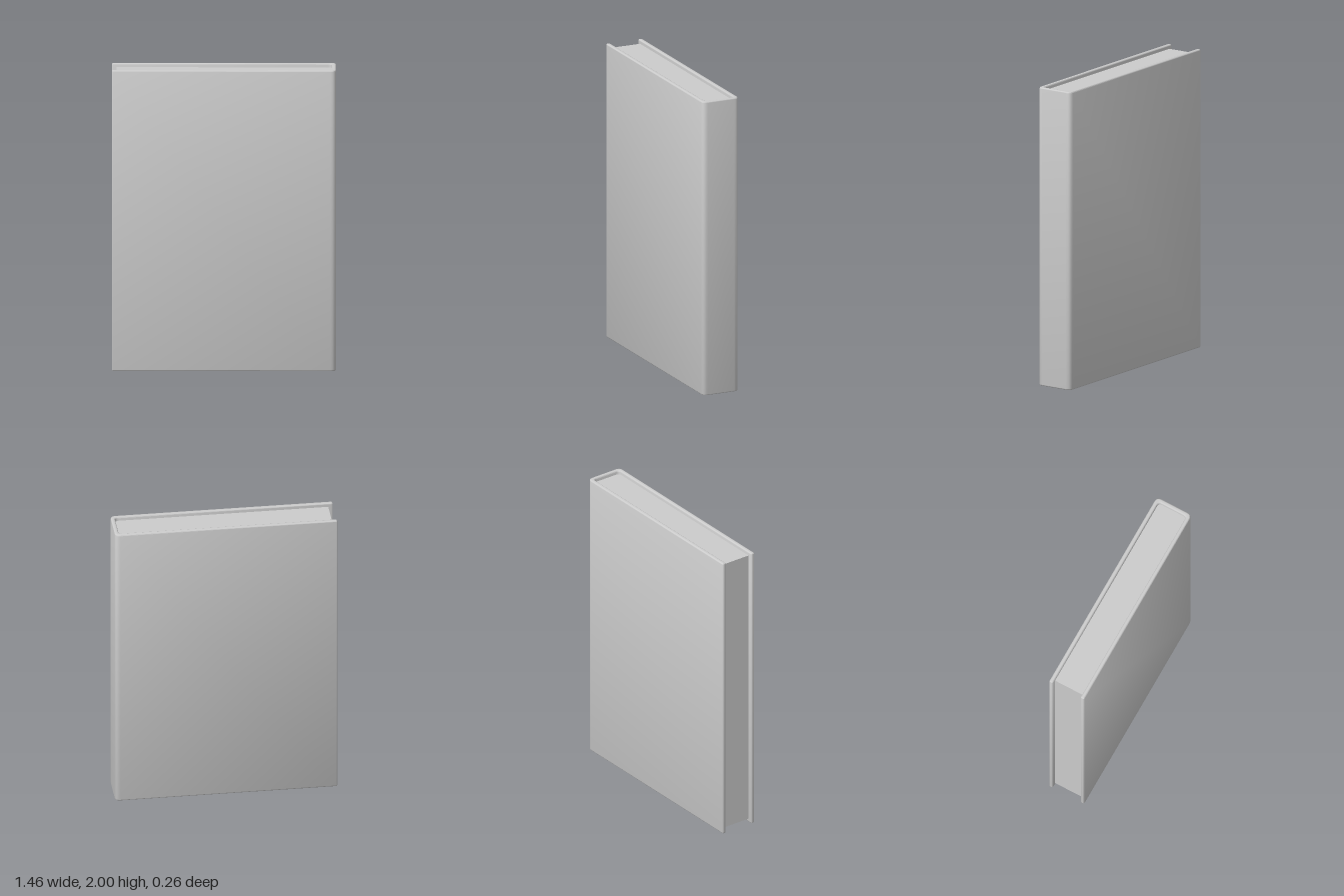
import * as THREE from 'three';
import { toCreasedNormals } from 'three/addons/utils/BufferGeometryUtils.js';

const HEIGHT = 2, BEVEL = 0.008;
const LEFT = -0.73, RIGHT = 0.73, HALF = 0.13, BOARD = 0.027;

// Upright prism from a plan outline, with optional rounded top and bottom edges
function prism(shape, y0, y1, bevel) {
  const geo = new THREE.ExtrudeGeometry(shape, {
    depth: y1 - y0 - 2 * bevel, curveSegments: 6,
    bevelEnabled: bevel > 0, bevelThickness: bevel, bevelSize: bevel,
    bevelOffset: -bevel, bevelSegments: 3,
  });
  geo.rotateX(-Math.PI / 2);
  geo.translate(0, y0 + bevel, 0);
  return toCreasedNormals(geo, 0.7);
}

// Closed outline with a fillet of radius r at each [x, y, r] corner
function roundedOutline(corners) {
  const shape = new THREE.Shape();
  const n = corners.length;
  corners.forEach(([x, y, r], i) => {
    const p = new THREE.Vector2(x, y);
    const toward = ([qx, qy]) =>
      new THREE.Vector2(qx, qy).sub(p).setLength(r).add(p);
    const a = toward(corners[(i + n - 1) % n]);
    const b = toward(corners[(i + 1) % n]);
    if (i === 0) shape.moveTo(a.x, a.y);
    else shape.lineTo(a.x, a.y);
    if (r > 0) shape.quadraticCurveTo(x, y, b.x, b.y);
  });
  shape.closePath();
  return shape;
}

export function createModel() {
  const book = new THREE.Group();
  book.name = 'book';
  const material = new THREE.MeshStandardMaterial({ color: 0xcccccc });
  const add = (name, geometry) => {
    const mesh = new THREE.Mesh(geometry, material);
    mesh.name = name;
    book.add(mesh);
  };

  // Cover: two boards joined by the spine on +x
  const inner = HALF - BOARD, spine = RIGHT - BOARD;
  add('cover', prism(roundedOutline([
    [LEFT, -HALF, 0.01], [RIGHT, -HALF, 0.035], [RIGHT, HALF, 0.035], [LEFT, HALF, 0.01],
    [LEFT, inner, 0.01], [spine, inner, 0.025], [spine, -inner, 0.025], [LEFT, -inner, 0.01],
  ]), 0, HEIGHT, BEVEL));

  // Page block, set in from the open edges of the cover
  const z = inner - 0.001, end = spine - 0.001;
  add('pages', prism(roundedOutline([
    [-0.7, -z, 0], [end, -z, 0.025], [end, z, 0.025], [-0.7, z, 0],
  ]), 0.025, HEIGHT - 0.025, 0));

  return book;
}
